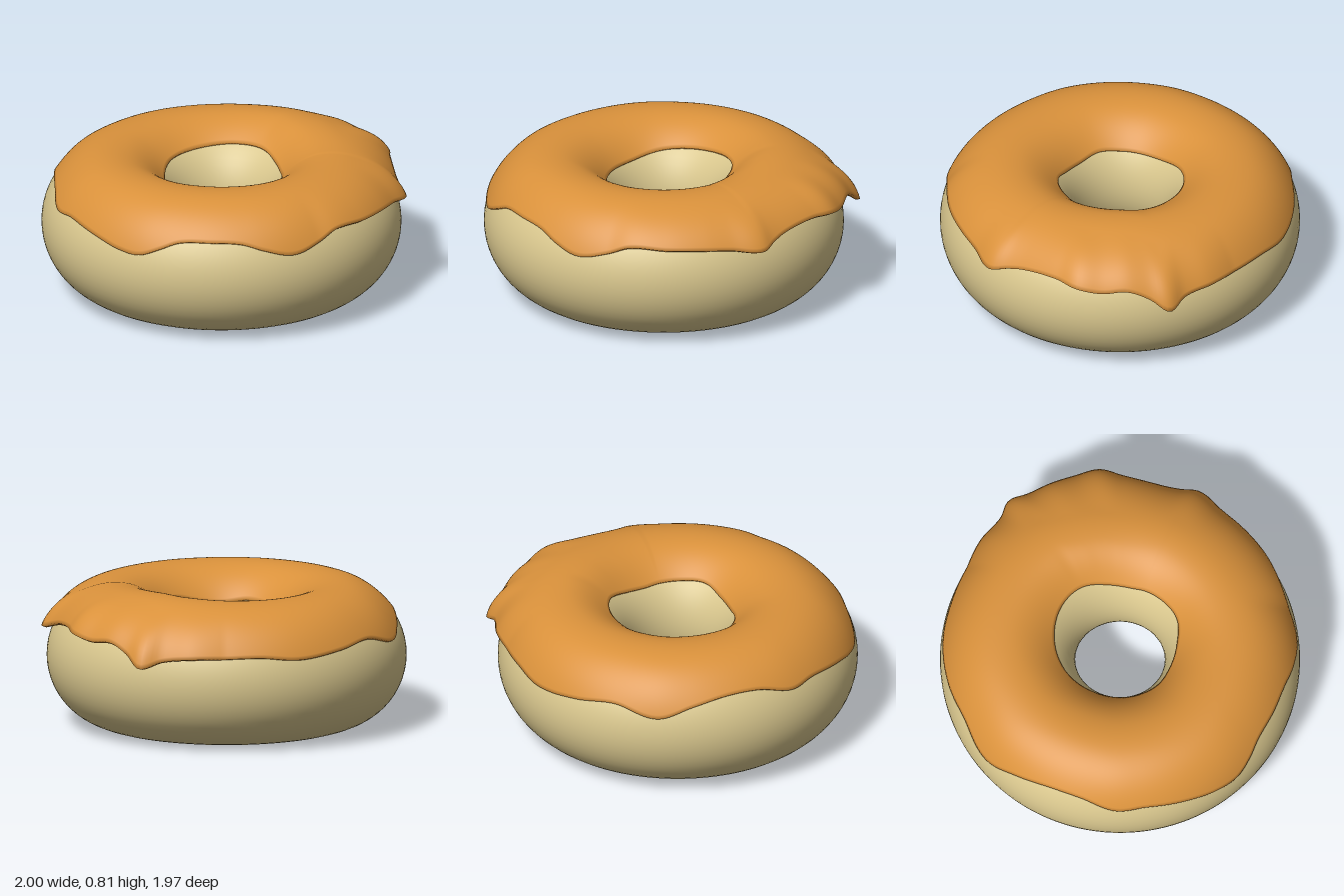
import * as THREE from 'three';

const R = 0.615, A = 0.37, B = 0.38, CX = -0.015; // ring radius, tube half width and half height

// Outer rim of the icing: [angle in degrees, radius, height]
const OUTER = [
  [0, 1.015, 0.55], [10, 0.975, 0.575], [19, 0.965, 0.59], [32, 0.96, 0.60], [45, 0.95, 0.605],
  [52, 0.955, 0.56], [62, 0.965, 0.52], [72, 0.94, 0.555], [79, 0.92, 0.59], [90, 0.915, 0.60],
  [101, 0.92, 0.59], [107, 0.94, 0.55], [114, 0.966, 0.51], [122, 0.958, 0.515], [129, 0.948, 0.535],
  [138, 0.944, 0.56], [147, 0.94, 0.575], [156, 0.942, 0.56], [168, 0.90, 0.60], [180, 0.905, 0.61],
  [193, 0.93, 0.57], [204, 0.966, 0.52], [219, 0.935, 0.565], [233, 0.949, 0.54], [250, 0.966, 0.52],
  [262, 0.957, 0.54], [271, 0.957, 0.54], [285, 0.995, 0.54], [295, 1.015, 0.52], [300.5, 1.075, 0.485],
  [306, 1.035, 0.55], [313, 1.02, 0.60], [321, 1.025, 0.59], [329, 1.03, 0.61], [336, 0.985, 0.62],
  [349, 0.962, 0.60], [355, 0.98, 0.575],
];
// Inner rim of the icing: [angle in degrees, radius]
const INNER = [
  [0, 0.33], [20, 0.335], [42, 0.338], [65, 0.31], [90, 0.30], [115, 0.312], [135, 0.308], [180, 0.31],
  [215, 0.34], [250, 0.36], [280, 0.375], [300, 0.372], [325, 0.338], [345, 0.325],
];

// Smooth curve through rows that wrap round the ring
function around(rows) {
  const all = [-360, 0, 360].flatMap(d => rows.map(r => [r[0] + d, ...r.slice(1)]));
  return new THREE.CubicInterpolant(all.map(r => r[0]), all.flatMap(r => r.slice(1)), rows[0].length - 1);
}

function icingGeometry() {
  const N = 288, TOP = 36, UNDER = 14, rows = TOP + UNDER + 2;
  const outer = around(OUTER), inner = around(INNER);
  const pos = [], index = [];
  const { lerp, smoothstep } = THREE.MathUtils;
  for (let i = 0; i < N; i++) {
    const deg = i * 360 / N, a = deg * Math.PI / 180;
    const [r, y] = outer.evaluate(deg);
    const [ri] = inner.evaluate(deg);
    // rim positions as angles and scales round the tube
    const u = (r - R) / A, v = (y - B) / B;
    const phiOut = Math.atan2(v, u), sOut = Math.max(1.035, Math.hypot(u, v));
    const sIn = 1.04, phiIn = Math.acos((ri - R) / (A * sIn));
    // raised patch at the back left
    const hump = 0.055 * Math.exp(-(((deg - 313) / 30) ** 2));
    const sTop = 1.075 + hump;
    const put = (phi, s) => {
      const rad = R + A * s * Math.cos(phi);
      pos.push(CX + rad * Math.cos(a), B + B * s * Math.sin(phi), rad * Math.sin(a));
    };
    // upper skin, from the hole to the outer rim
    for (let j = 0; j <= TOP; j++) {
      const t = j / TOP;
      let s = t < 0.5 ? lerp(sIn, sTop, smoothstep(t, 0, 0.35)) : lerp(sTop, sOut, smoothstep(t, 0.55, 1));
      put(lerp(phiIn, phiOut, t), s);
    }
    // underside, from the outer rim back to the hole
    const sLip = Math.max(0.985, sOut - 0.06);
    for (let j = 0; j <= UNDER; j++) {
      const t = j / UNDER;
      put(lerp(phiOut, phiIn, t), lerp(sLip, 0.985, smoothstep(t, 0, 0.4)));
    }
    // each pair of neighbouring sections is joined by quads
    const k = (i + 1) % N;
    for (let j = 0; j < rows; j++) {
      const m = (j + 1) % rows;
      const p = i * rows + j, q = k * rows + j, pn = i * rows + m, qn = k * rows + m;
      index.push(p, q, pn, q, qn, pn);
    }
  }
  const g = new THREE.BufferGeometry();
  g.setAttribute('position', new THREE.Float32BufferAttribute(pos, 3));
  g.setIndex(index);
  g.computeVertexNormals();
  return g;
}

export function createModel() {
  const doughMat = new THREE.MeshStandardMaterial({ color: 0xd8c68d });
  doughMat.name = 'dough';
  const icingMat = new THREE.MeshStandardMaterial({ color: 0xd9913b });
  icingMat.name = 'caramel icing';

  const group = new THREE.Group();
  group.name = 'doughnut';

  // Ring of dough
  const ring = new THREE.TorusGeometry(R, A, 56, 128);
  ring.rotateX(Math.PI / 2).scale(1, B / A, 1).translate(CX, B, 0);
  const dough = new THREE.Mesh(ring, doughMat);
  dough.name = 'doughRing';

  // Icing with a dripping rim
  const icing = new THREE.Mesh(icingGeometry(), icingMat);
  icing.name = 'icing';

  group.add(dough, icing);
  return group;
}
